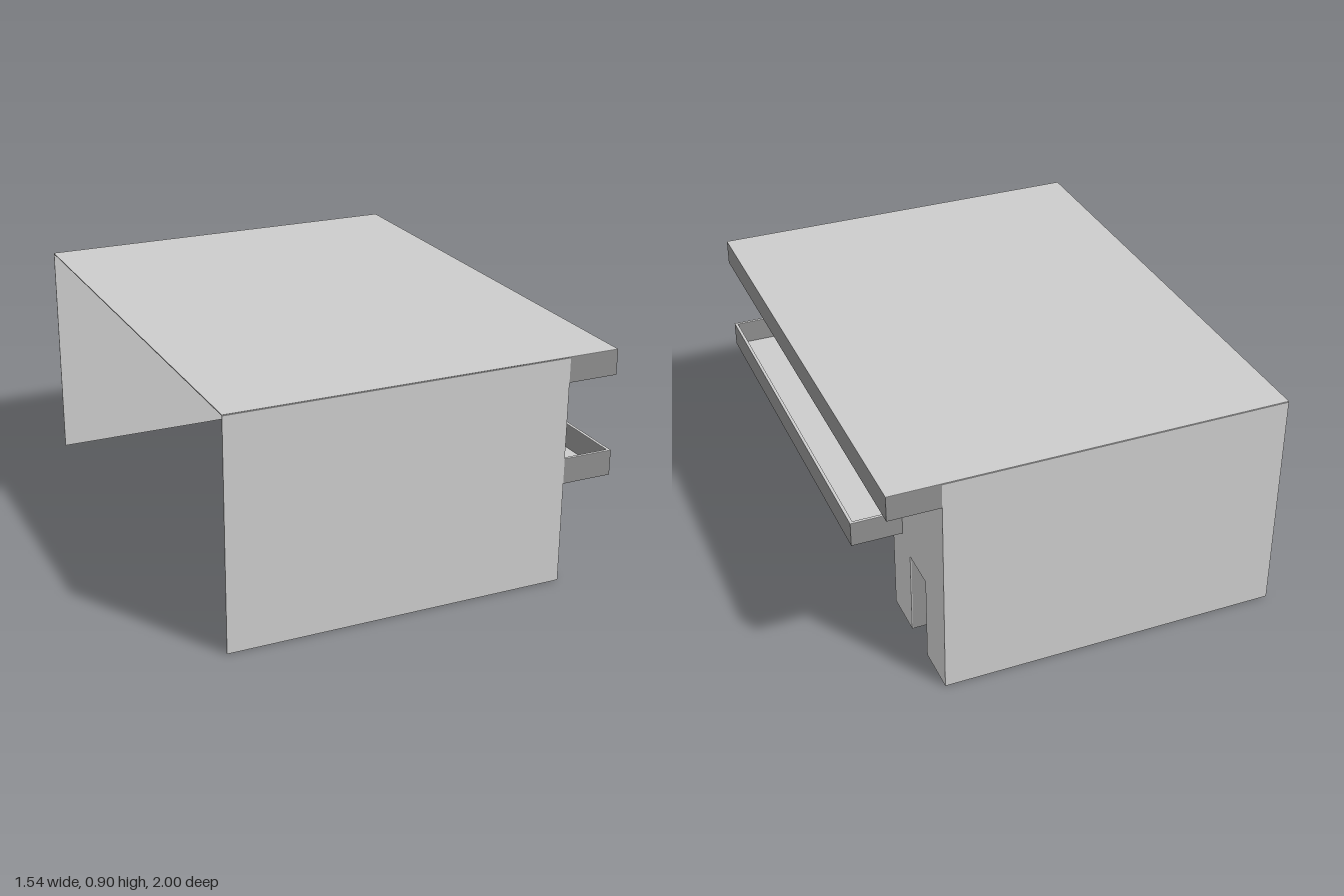
import * as THREE from 'three';

const material = (color) => new THREE.MeshStandardMaterial({ color });

export function createModel() {
  const model = new THREE.Group();
  const light = material(0xcccccc);
  const dark = material(0x8e8e8e);
  const black = material(0x0e0e0e);
  const T = 0.004; // thickness of plain sheets

  // Box given by its range on each axis
  const box = (name, mat, [x0, x1], [y0, y1], [z0, z1]) => {
    const mesh = new THREE.Mesh(new THREE.BoxGeometry(x1 - x0, y1 - y0, z1 - z0), mat);
    mesh.position.set((x0 + x1) / 2, (y0 + y1) / 2, (z0 + z1) / 2);
    mesh.name = name;
    model.add(mesh);
  };

  const BACK = -0.77, FACE = 0.57, EDGE = 0.77; // open back, facade, balcony edge
  const LOW = -0.035, HIGH = 0.45;              // window planes of the two storeys
  const FLOOR = 0.4, CEIL = 0.8, TOP = 0.9;
  const bays = [[0.26, 0.9], [-0.475, 0.16]];

  // Roof sheet, pale above and dark below, with a deep eave
  box('roof', light, [BACK, EDGE], [TOP - T / 2, TOP], [-1, 1]);
  box('roofUnderside', dark, [BACK, FACE], [TOP - T, TOP - T / 2], [-1 + T, 1 - T]);
  box('eave', dark, [FACE, EDGE], [CEIL, TOP - T / 2], [-1, 1]);

  // Side walls; the back and the bottom stay open
  box('sideWall', light, [BACK, FACE], [0, TOP - T], [1 - T, 1]);
  box('sideWall', light, [BACK, FACE], [0, TOP - T], [-1, -1 + T]);

  // Facade strips around the bays and the door
  const face = [FACE - T, FACE];
  const door = [-0.815, -0.655], doorTop = 0.345;
  box('facadeStrip', light, face, [0, CEIL], [0.9, 1 - T]);
  box('facadeStrip', light, face, [0, CEIL], [door[1], -0.475]);
  box('facadeStrip', light, face, [0, CEIL], [-1 + T, door[0]]);
  box('facadeAboveDoor', light, face, [doorTop, CEIL], door);
  box('pierFace', dark, face, [0, CEIL], [0.16, 0.26]);

  // Recessed windows: a deep lower one and a shallow upper one in each bay
  for (const [z0, z1] of bays) {
    box('lowerWindow', black, [LOW - T, LOW], [0, FLOOR], [z0, z1]);
    box('upperWindow', black, [HIGH - T, HIGH], [FLOOR, CEIL], [z0, z1]);
    box('recessFloor', light, [HIGH, FACE], [FLOOR + T / 2, FLOOR + T], [z0, z1]);
    box('recessCeiling', dark, [LOW, FACE], [FLOOR, FLOOR + T / 2], [z0, z1]);
    box('upperCeiling', dark, [HIGH, FACE], [CEIL, CEIL + T], [z0, z1]);
    for (const cheek of [[z0 - T, z0], [z1, z1 + T]]) {
      box('lowerCheek', dark, [LOW, FACE - T], [0, FLOOR], cheek);
      box('upperCheek', dark, [HIGH, FACE - T], [FLOOR, CEIL], cheek);
    }
  }

  // Door recess
  const doorX = 0.44;
  box('door', black, [doorX - T, doorX], [0, doorTop], door);
  box('doorHead', dark, [doorX, FACE - T], [doorTop, doorTop + T], door);
  box('doorJamb', dark, [doorX, FACE - T], [0, doorTop], [door[0] - T, door[0]]);
  box('doorJamb', dark, [doorX, FACE - T], [0, doorTop], [door[1], door[1] + T]);

  // Balcony tray with a thin parapet on three sides
  const END = -0.58, R = 0.012;
  box('balconyUnderside', dark, [FACE, EDGE - R], [FLOOR, FLOOR + T / 2], [END + R, 1 - R]);
  box('balconyFloor', light, [FACE, EDGE - R], [FLOOR + T / 2, FLOOR + T], [END + R, 1 - R]);
  const rails = [
    [[EDGE - R, EDGE], [END, 1]],
    [[FACE, EDGE - R], [1 - R, 1]],
    [[FACE, EDGE - R], [END, END + R]],
  ];
  for (const [x, z] of rails) {
    box('parapet', dark, x, [FLOOR, 0.5 - T / 2], z);
    box('parapetCap', light, x, [0.5 - T / 2, 0.5], z);
  }

  return model;
}
